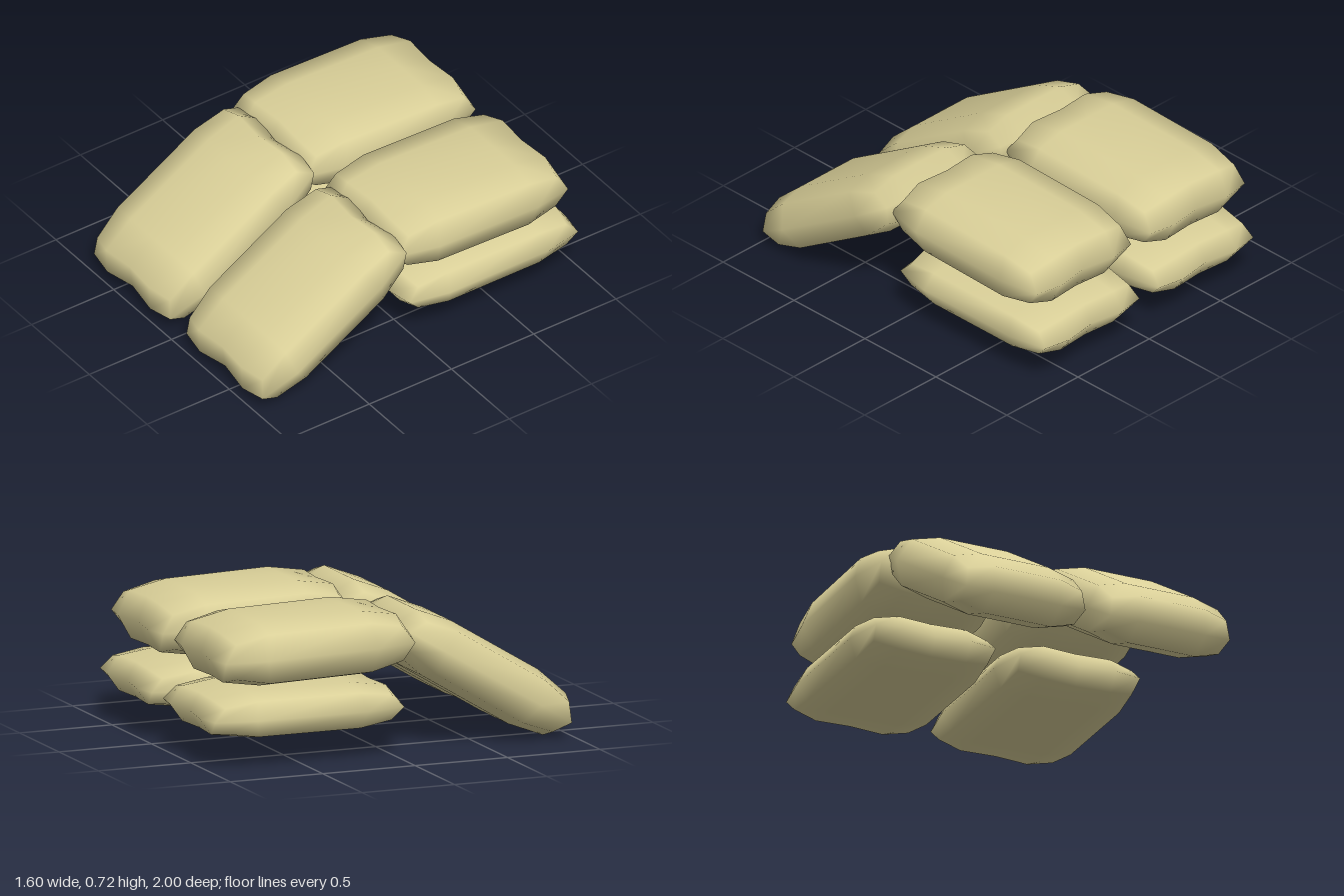
import * as THREE from 'three';
import { mergeVertices } from 'three/addons/utils/BufferGeometryUtils.js';

// Stuffed sack: a coarse box whose vertices are pulled into a pillow with eared corners.
function sackGeometry(halfThickness) {
  const box = new THREE.BoxGeometry(4, 2, 3, 4, 2, 3);
  box.deleteAttribute('uv');
  box.deleteAttribute('normal');
  const geo = mergeVertices(box);
  const p = geo.attributes.position;
  for (let i = 0; i < p.count; i++) {
    const column = Math.round(Math.abs(p.getX(i))); // 0 centre, 1 inner, 2 side
    const layer = Math.round(p.getY(i));            // -1 underside, 0 seam, 1 top
    const atEnd = Math.abs(p.getZ(i)) > 1;
    const atSide = column === 2;
    let x = [0, 0.185, 0.33][column];
    let y = layer * halfThickness;
    let z = atEnd ? 0.47 : 0.275;
    if (layer === 0) {
      // widest ring along the seam, dipping at the middle of each end
      if (atEnd) z = [0.508, 0.537, 0.512][column];
      else z = 0.3;
      if (atSide && !atEnd) x = 0.375;
    } else {
      if (atEnd) z = [0.457, 0.472, 0.45][column];
      if (atEnd && atSide) { x = 0.315; y *= 0.55; }
      else if (atEnd || atSide) y *= 0.77;
    }
    p.setXYZ(i, Math.sign(p.getX(i)) * x, y, Math.sign(p.getZ(i)) * z);
  }
  geo.computeVertexNormals();
  return geo;
}

export function createModel() {
  const group = new THREE.Group();
  const cloth = new THREE.MeshStandardMaterial({ color: 0xd9cf98 });

  // Each layer: height, depth, sideways centre of the pair, thickness, tilt
  const layers = [
    { name: 'lowerSack', y: 0.26, z: -0.465, x: -0.025, half: 0.116, tilt: 0 },
    { name: 'upperSack', y: 0.567, z: -0.405, x: -0.025, half: 0.16, tilt: -0.027 },
    { name: 'leaningSack', y: 0.359, z: 0.535, x: 0.02, half: 0.155, tilt: 0.546 },
  ];
  for (const l of layers) {
    const geo = sackGeometry(l.half);
    for (const side of [-1, 1]) {
      const sack = new THREE.Mesh(geo, cloth);
      sack.name = l.name + (side > 0 ? 'Left' : 'Right');
      sack.position.set(l.x + side * 0.4, l.y, l.z);
      sack.rotation.x = l.tilt;
      group.add(sack);
    }
  }
  return group;
}
